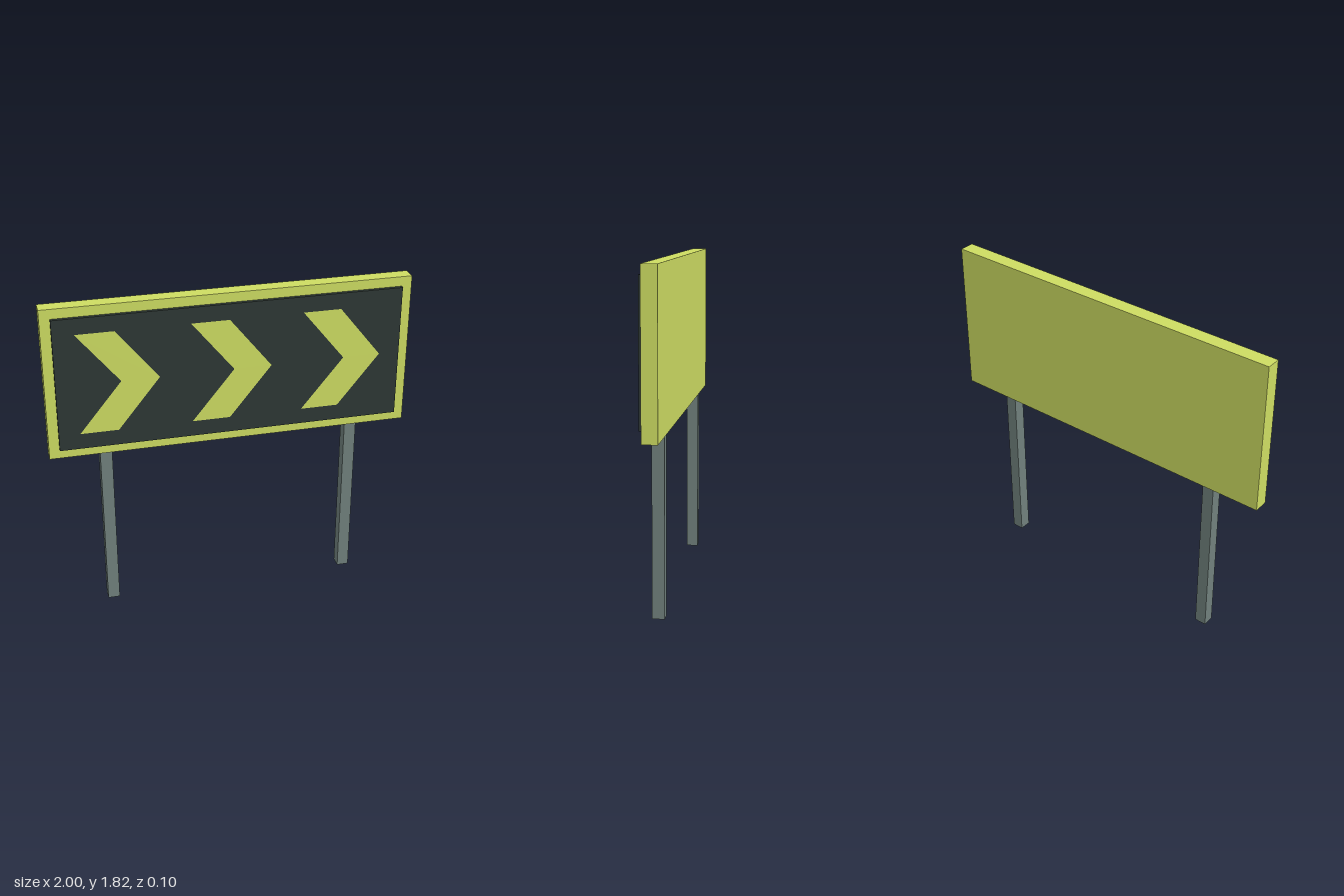
import * as THREE from 'three';

const lime = new THREE.MeshStandardMaterial({ color: 0xcddc62 });
const dark = new THREE.MeshStandardMaterial({ color: 0x2d3734 });
const steel = new THREE.MeshStandardMaterial({ color: 0x70807c });

// Box given by its centre x, its y range and its z range
function box(name, material, x, width, [y0, y1], [z0, z1]) {
  const mesh = new THREE.Mesh(new THREE.BoxGeometry(width, y1 - y0, z1 - z0), material);
  mesh.position.set(x, (y0 + y1) / 2, (z0 + z1) / 2);
  mesh.name = name;
  return mesh;
}

export function createModel() {
  const group = new THREE.Group();
  group.name = 'chevronRoadSign';

  // Backing board and the raised dark panel on its front
  group.add(box('board', lime, 0, 2, [0.96, 1.818], [-0.052, 0.03]));
  group.add(box('panel', dark, 0, 1.888, [1.014, 1.764], [0.03, 0.05]));

  // Square posts
  for (const side of [-1, 1]) {
    group.add(box(side < 0 ? 'rightPost' : 'leftPost', steel, side * 0.694, 0.066, [0, 0.96], [-0.043, 0.022]));
  }

  // Three flat arrow marks, pointing to +x
  const shape = new THREE.Shape([
    [-0.219, -0.286], [-0.011, -0.286], [0.219, 0],
    [-0.011, 0.286], [-0.219, 0.286], [0.013, 0],
  ].map(([x, y]) => new THREE.Vector2(x, y)));
  const chevronGeometry = new THREE.ShapeGeometry(shape);
  for (let i = -1; i <= 1; i++) {
    const chevron = new THREE.Mesh(chevronGeometry, lime);
    chevron.name = 'chevron';
    chevron.position.set(i * 0.611, 1.389, 0.052);
    group.add(chevron);
  }

  return group;
}
